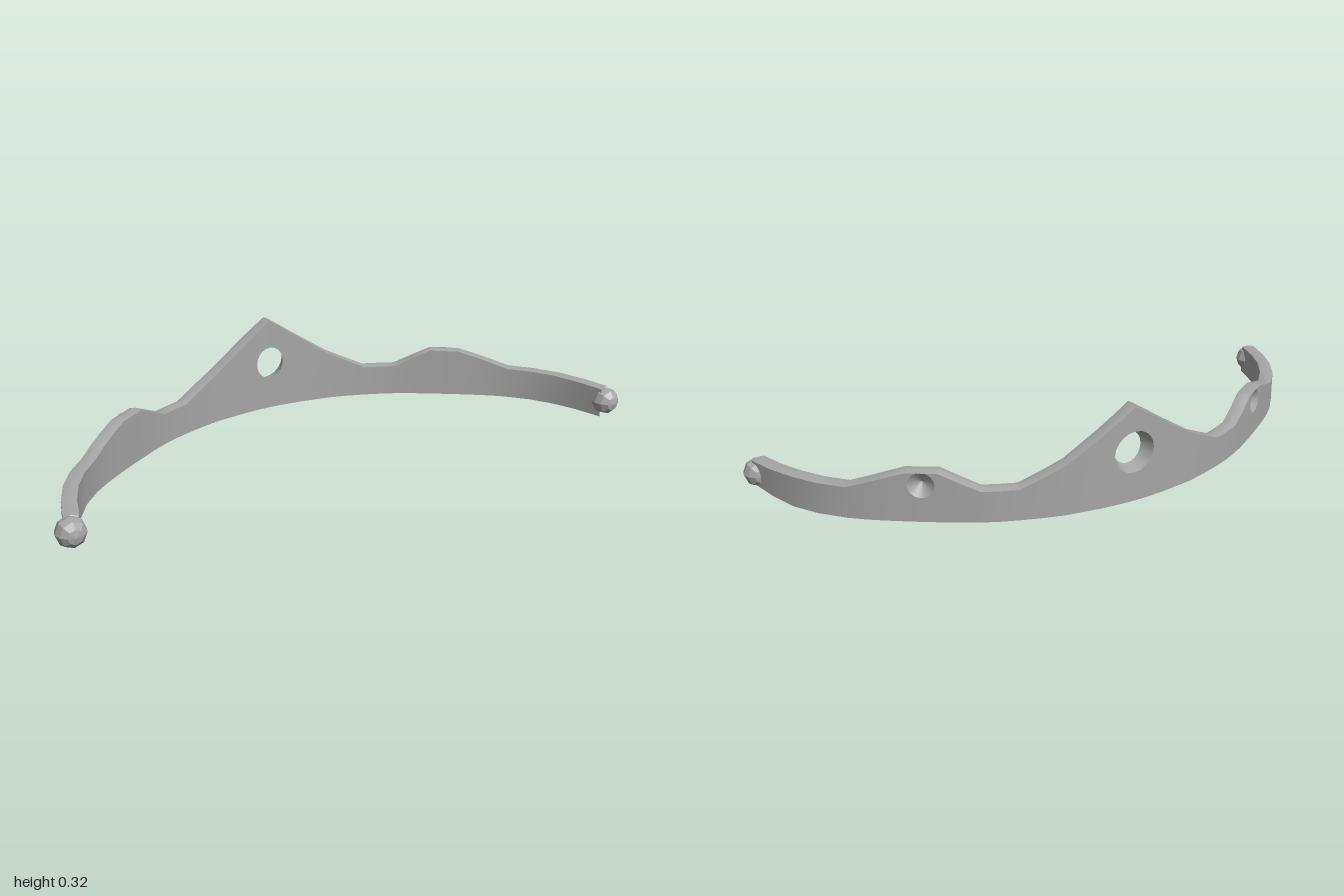
import * as THREE from 'three';
import { toCreasedNormals } from 'three/addons/utils/BufferGeometryUtils.js';

const THICK = 0.045;

// Half of the band's centre line (x, z), mirrored to a full arc
const half = [[0.12, -0.33], [0.23, -0.312], [0.43, -0.24], [0.58, -0.15],
  [0.77, -0.01], [0.85, 0.08], [0.91, 0.19], [0.95, 0.315]];
const line = [...half.map(([x, z]) => [-x, z]).reverse(), [0, -0.338], ...half];
const curve = new THREE.CatmullRomCurve3(line.map(([x, z]) => new THREE.Vector3(x, 0, z)));
const LENGTH = curve.getLength();
const END = LENGTH / 2;

// Height of the upper edge by distance from the middle
const crest = [[0, 0.325], [0.11, 0.25], [0.22, 0.178], [0.29, 0.145], [0.36, 0.113],
  [0.47, 0.113], [0.595, 0.172], [0.695, 0.17], [0.76, 0.15], [0.87, 0.114], [1.05, 0.113], [END, 0.108]];

function topAt(s) {
  const d = Math.min(Math.abs(s), END);
  const i = Math.max(1, crest.findIndex(c => c[0] >= d - 1e-6));
  const [a, b] = [crest[i - 1], crest[i]];
  return THREE.MathUtils.lerp(a[1], b[1], (d - a[0]) / (b[0] - a[0]));
}

// Point at arc distance s, offset outwards from the centre line, at height y
function point(s, offset, y) {
  const u = THREE.MathUtils.clamp(s / LENGTH + 0.5, 0, 1);
  const p = curve.getPointAt(u), t = curve.getTangentAt(u);
  return new THREE.Vector3(p.x + t.z * offset, y, p.z - t.x * offset);
}

// Flared opening through the peak, and a blind recess on each side
const OPENING = { s: 0, y: 0.17, outer: 0.068, inner: 0.051 };
const RECESSES = [-1, 1].map(k => ({ s: k * 0.645, y: 0.126, outer: 0.041 }));

const inside = (h, s) => Math.abs(s - h.s) <= h.outer + 1e-6;

function buildBand() {
  const pos = [];
  const tri = (a, b, c) => {
    const area = b.clone().sub(a).cross(c.clone().sub(a)).length();
    if (area > 1e-9) for (const p of [a, b, c]) pos.push(p.x, p.y, p.z);
  };
  const quad = (a, b, c, d) => { tri(a, b, c); tri(a, c, d); };

  // Columns: crest corners, even filler along the ends and the rims of the holes
  const stops = [];
  for (const [d] of crest) stops.push(d, -d);
  for (const d of [0.415, 0.53, 0.81, 0.96, 1.14]) stops.push(d, -d);
  for (const h of [OPENING, ...RECESSES])
    for (let i = 0; i <= 10; i++) stops.push(h.s - h.outer * Math.cos(i * Math.PI / 10));
  stops.sort((a, b) => a - b);
  const cols = stops.filter((s, i) => i === 0 || s - stops[i - 1] > 1e-5).map(s => {
    const open = inside(OPENING, s);
    const si = open ? s * OPENING.inner / OPENING.outer : s;
    const hole = [OPENING, ...RECESSES].find(h => inside(h, s));
    const chord = hole ? Math.sqrt(Math.max(0, 1 - ((s - hole.s) / hole.outer) ** 2)) : 0;
    const lift = Math.max(0, Math.abs(s) - 1.05) * 0.09;
    const out = y => point(s, THICK / 2, y), inn = y => point(si, -THICK / 2, y);
    const col = {
      s,
      outLow: out(0.006 + lift), outTop: out(topAt(s) - 0.006),
      inLow: inn(0.006), inTop: inn(topAt(si) - 0.004),
      keel: point(s, 0, 0), ridge: point(s, 0, topAt(s)),
    };
    if (hole) {
      col.outA = out(hole.y - chord * hole.outer);
      col.outB = out(hole.y + chord * hole.outer);
    }
    if (open) {
      col.inA = inn(OPENING.y - chord * OPENING.inner * 1.06);
      col.inB = inn(OPENING.y + chord * OPENING.inner * 1.06);
    }
    return col;
  });

  for (let i = 0; i + 1 < cols.length; i++) {
    const a = cols[i], b = cols[i + 1], mid = (a.s + b.s) / 2;
    // Upper and lower edges, each with a slight ridge
    quad(a.inTop, b.inTop, b.ridge, a.ridge);
    quad(a.ridge, b.ridge, b.outTop, a.outTop);
    quad(a.outLow, b.outLow, b.keel, a.keel);
    quad(a.keel, b.keel, b.inLow, a.inLow);
    const recess = RECESSES.find(h => inside(h, mid));
    const open = inside(OPENING, mid);
    // Outer face, split above and below a hole
    if (open || recess) {
      quad(a.outA, b.outA, b.outLow, a.outLow);
      quad(a.outTop, b.outTop, b.outB, a.outB);
    } else quad(a.outTop, b.outTop, b.outLow, a.outLow);
    // Inner face
    if (open) {
      quad(a.inLow, b.inLow, b.inA, a.inA);
      quad(a.inB, b.inB, b.inTop, a.inTop);
      // Wall of the opening
      quad(a.inA, b.inA, b.outA, a.outA);
      quad(a.outB, b.outB, b.inB, a.inB);
    } else quad(a.inLow, b.inLow, b.inTop, a.inTop);
    // Faceted cone of the recess
    if (recess) {
      const apex = point(recess.s, -0.008, recess.y);
      tri(apex, b.outA, a.outA);
      tri(a.outB, b.outB, apex);
    }
  }

  // End caps
  for (const k of [-1, 1]) {
    const c = k < 0 ? cols[0] : cols[cols.length - 1];
    const ring = [c.inLow, c.inTop, c.ridge, c.outTop, c.outLow, c.keel];
    if (k > 0) ring.reverse();
    for (let i = 1; i < 5; i++) tri(ring[0], ring[i + 1], ring[i]);
  }

  const geo = new THREE.BufferGeometry();
  geo.setAttribute('position', new THREE.Float32BufferAttribute(pos, 3));
  return toCreasedNormals(geo, 0.5);
}

export function createModel() {
  const metal = new THREE.MeshStandardMaterial({ color: 0xa6a6a6 });
  metal.name = 'grey metal';
  const model = new THREE.Group();
  model.name = 'tiara';

  const band = new THREE.Mesh(buildBand(), metal);
  band.name = 'band';
  model.add(band);

  // Faceted knobs on both tips, poles facing forwards
  const knobGeo = toCreasedNormals(new THREE.SphereGeometry(0.046, 8, 6).rotateX(Math.PI / 2), 0.3);
  for (const k of [-1, 1]) {
    const knob = new THREE.Mesh(knobGeo, metal);
    knob.name = k > 0 ? 'leftKnob' : 'rightKnob';
    knob.position.set(k * 0.954, 0.058, 0.314);
    model.add(knob);
  }
  return model;
}
